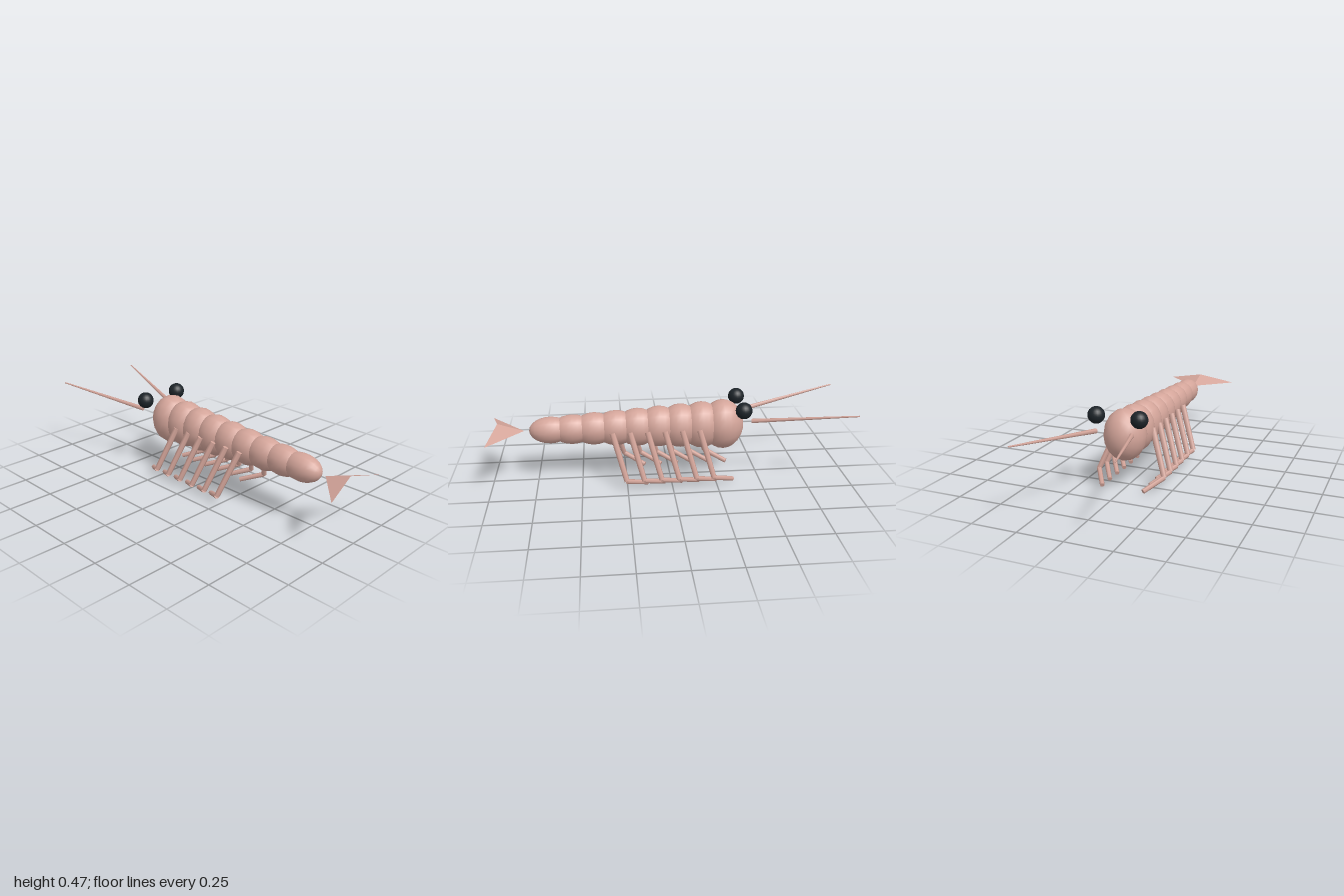
import * as THREE from 'three';

export function createModel() {
  const model = new THREE.Group();
  const shell = new THREE.MeshStandardMaterial({ color: 0xd4a59a });
  const dark = new THREE.MeshStandardMaterial({ color: 0x1c2328 });
  const fin = new THREE.MeshStandardMaterial({ color: 0xd4a59a, flatShading: true, side: THREE.DoubleSide });

  const add = (name, geometry, material, parent = model) => {
    const mesh = new THREE.Mesh(geometry, material);
    mesh.name = name;
    parent.add(mesh);
    return mesh;
  };

  // Tapered rod from point a to point b
  const rod = (name, a, b, ra, rb, sides, parent) => {
    const from = new THREE.Vector3(...a), to = new THREE.Vector3(...b);
    const dir = to.clone().sub(from);
    const mesh = add(name, new THREE.CylinderGeometry(rb, ra, dir.length(), sides), shell, parent);
    mesh.position.copy(from).add(to).multiplyScalar(0.5);
    mesh.quaternion.setFromUnitVectors(new THREE.Vector3(0, 1, 0), dir.normalize());
  };

  // Overlapping body segments, shrinking from head (-z) to tail (+z)
  const segments = 9;
  for (let i = 0; i < segments; i++) {
    const t = i / (segments - 1);
    const geometry = new THREE.SphereGeometry(1, 16, 12).rotateX(Math.PI / 2);
    const mesh = add(i === 0 ? 'head' : 'bodySegment' + i, geometry, shell);
    mesh.scale.set(
      THREE.MathUtils.lerp(0.116, 0.07, t),
      THREE.MathUtils.lerp(0.143, 0.075, t),
      0.118
    );
    mesh.position.set(0, 0.305, THREE.MathUtils.lerp(-0.3, 0.665, t));
  }

  for (const s of [1, -1]) {
    const side = s > 0 ? 'left' : 'right';

    // Eyes
    add(side + 'Eye', new THREE.SphereGeometry(0.046, 20, 14), dark).position.set(s * 0.121, 0.425, -0.396);

    // Antennae
    rod(side + 'Antenna', [s * 0.1, 0.355, -0.445], [s * 0.264, 0.425, -0.999], 0.013, 0.004, 6, model);

    // Six bent legs per side
    for (let i = 0; i < 6; i++) {
      const z = -0.158 + i * 0.0965;
      const leg = new THREE.Group();
      leg.name = side + 'Leg' + (i + 1);
      const knee = [s * 0.193, 0.062, z - 0.07];
      rod('upperLeg', [s * 0.098, 0.31, z], knee, 0.017, 0.015, 6, leg);
      rod('lowerLeg', knee, [s * 0.119, 0.015, z - 0.188], 0.014, 0.013, 6, leg);
      model.add(leg);
    }
  }

  // Tail fan: two thin triangles meeting along a raised ridge
  const tip = [0, 0.305, 0.81], ridge = [0, 0.352, 0.953];
  const left = [0.213, 0.305, 1], right = [-0.213, 0.305, 1];
  const fan = new THREE.BufferGeometry();
  fan.setAttribute('position', new THREE.Float32BufferAttribute(
    [tip, ridge, left, tip, right, ridge].flat(), 3));
  fan.computeVertexNormals();
  add('tailFan', fan, fin);

  return model;
}
